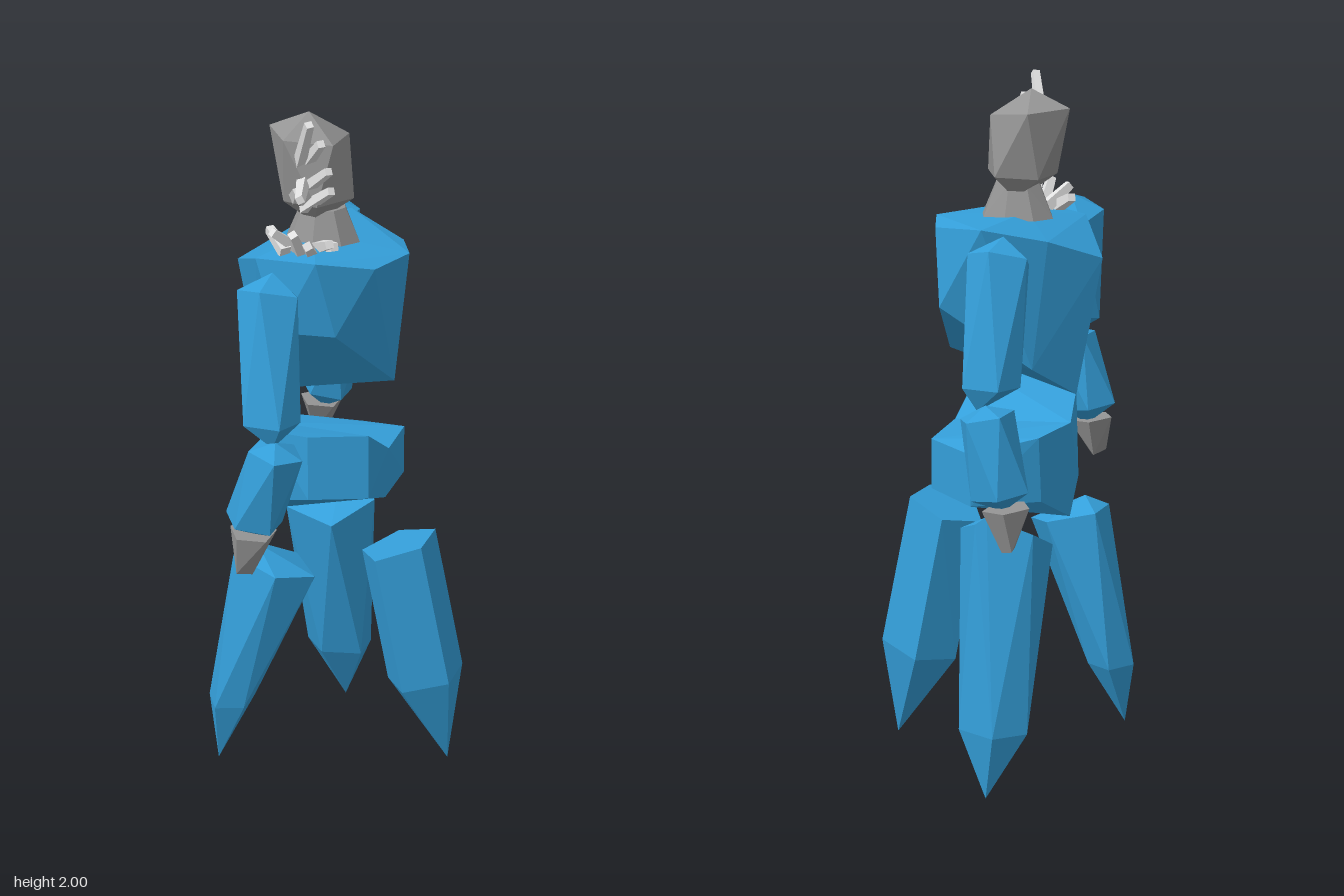
import * as THREE from 'three';
import { ConvexGeometry } from 'three/addons/geometries/ConvexGeometry.js';

const material = (name, color) => {
  const m = new THREE.MeshStandardMaterial({ color });
  m.name = name;
  return m;
};

export function createModel() {
  const model = new THREE.Group();
  const blue = material('blue shell', 0x349fda);
  const grey = material('grey stone', 0x959595);
  const pale = material('pale spike', 0xe2e2e2);

  // Faceted solid around a few [x, y, z] corners
  const solid = (name, points, mat) => {
    const mesh = new THREE.Mesh(new ConvexGeometry(points.map((p) => new THREE.Vector3(...p))), mat);
    mesh.name = name;
    model.add(mesh);
  };
  // Pentagonal cross-section; tilts raise one side along x or z
  const ring = (x, y, z, rx, rz, turn = 0, tiltX = 0, tiltZ = 0, sides = 5) =>
    Array.from({ length: sides }, (_, i) => {
      const a = turn + (i / sides) * Math.PI * 2;
      const dx = Math.cos(a) * rx, dz = Math.sin(a) * rz;
      return [x + dx, y + dx * tiltX + dz * tiltZ, z + dz];
    });

  // Head and neck
  solid('head', [
    [-0.11, 1.97, 0],
    ...ring(-0.11, 1.91, 0, 0.115, 0.11, Math.PI, -0.1),
    ...ring(-0.08, 1.735, 0, 0.1, 0.112, 0, 0.05),
    [-0.08, 1.67, 0.04], [-0.08, 1.67, -0.04],
  ], grey);
  solid('neck', [
    ...ring(-0.07, 1.71, 0, 0.065, 0.06, 0, 0, 0, 8),
    ...ring(-0.07, 1.615, 0, 0.107, 0.088, 0, 0, 0, 8),
  ], grey);

  // Torso wedge
  solid('torso', [
    [-0.1, 1.63, 0], [-0.33, 1.52, -0.01], [-0.225, 1.58, -0.145], [-0.08, 1.62, -0.26],
    [0.12, 1.59, -0.13], [0.18, 1.6, 0], [0.125, 1.59, 0.13], [-0.01, 1.62, 0.225],
    [-0.2, 1.6, 0.18], [-0.13, 1.4, 0.2], [0.03, 1.4, 0.18], [0.14, 1.22, 0],
    [0.08, 1.38, -0.19], [-0.18, 1.22, -0.145], [-0.26, 1.13, -0.02],
  ], blue);

  // Bent pelvis, its two halves meeting at z = 0
  const middle = [[0.125, 1.01, 0], [0.115, 0.855, 0], [-0.235, 1.04, 0], [-0.235, 0.765, 0]];
  solid('pelvisFront', [
    ...middle, [0.125, 1.12, 0.175], [0.125, 0.93, 0.175], [-0.03, 1.12, 0.24],
    [-0.03, 0.93, 0.24], [-0.18, 1.09, 0.17], [-0.21, 0.85, 0.12],
  ], blue);
  solid('pelvisBack', [
    ...middle, [0.11, 1.0, -0.185], [0.11, 0.855, -0.185], [-0.03, 0.98, -0.225],
    [-0.03, 0.83, -0.225], [-0.19, 1.02, -0.12], [-0.19, 0.83, -0.1],
  ], blue);

  // Three pointed legs
  solid('frontLeg', [
    [-0.19, 0.76, 0.22],
    ...ring(-0.15, 0.705, 0.203, 0.125, 0.09, 0, -0.25),
    ...ring(-0.275, 0.25, 0.235, 0.07, 0.08, Math.PI),
    [-0.31, 0.055, 0.26],
  ], blue);
  solid('backLeg', [
    [-0.11, 0.83, -0.29],
    ...ring(-0.12, 0.75, -0.185, 0.14, 0.115, 0, 0, -0.5),
    ...ring(-0.12, 0.2, -0.27, 0.105, 0.08, Math.PI),
    [-0.115, 0, -0.31],
  ], blue);
  solid('sideLeg', [
    ...ring(0.17, 0.735, 0.04, 0.11, 0.113, Math.PI, 0.35),
    ...ring(0.245, 0.3, 0.005, 0.115, 0.113, Math.PI, 0.25),
    [0.31, 0.02, -0.02],
  ], blue);

  // Arms: upper arm, forearm and hand at each end of z
  const arms = [
    { name: 'front', s: 1, shoulder: -0.09, elbow: -0.065, foreTop: -0.035, wrist: -0.1, hand: -0.105, grip: 0.038 },
    { name: 'back', s: -1, shoulder: -0.18, elbow: -0.185, foreTop: -0.19, wrist: -0.235, hand: -0.25, grip: 0.022 },
  ];
  for (const { name, s, shoulder, elbow, foreTop, wrist, hand, grip } of arms) {
    solid(name + 'UpperArm', [
      [shoulder, 1.625, s * 0.335],
      ...ring(shoulder, 1.57, s * 0.35, 0.09, 0.078, s * Math.PI / 2, 0, s * 0.4),
      ...ring(elbow, 1.245, s * 0.438, 0.087, 0.067, -s * Math.PI / 2),
      [elbow + 0.02, 1.18, s * 0.465],
    ], blue);
    solid(name + 'Forearm', [
      [foreTop, 1.2, s * 0.47],
      ...ring(foreTop, 1.17, s * 0.465, 0.075, 0.078, 0, -0.2),
      ...ring(wrist, 0.96, s * 0.47, 0.08, 0.08, Math.PI, -0.2),
      [wrist, 0.91, s * 0.45],
    ], blue);
    solid(name + 'Hand', [
      ...ring(hand, 0.925, s * 0.465, 0.066, 0.07, Math.PI, -0.1),
      [hand - 0.03, 0.815, s * (0.477 + grip)], [hand + 0.005, 0.805, s * 0.485],
      [hand - 0.02, 0.815, s * (0.477 - grip)],
    ], grey);
  }

  // Square spikes on the face and a second cluster on the collar
  const up = new THREE.Vector3(0, 1, 0);
  const spike = (name, from, to, r) => {
    const a = new THREE.Vector3(...from), b = new THREE.Vector3(...to);
    const dir = b.clone().sub(a);
    const geo = new THREE.CylinderGeometry(r * 0.7, r, dir.length(), 4).toNonIndexed();
    geo.computeVertexNormals();
    const mesh = new THREE.Mesh(geo, pale);
    mesh.name = name;
    mesh.position.copy(a).add(b).multiplyScalar(0.5);
    mesh.quaternion.setFromUnitVectors(up, dir.normalize());
    model.add(mesh);
  };
  [
    [[-0.11, 1.84, 0.08], [-0.04, 1.99, 0.185]],
    [[-0.1, 1.8, 0.07], [-0.035, 1.81, 0.27]],
    [[-0.1, 1.77, 0.07], [0.005, 1.86, 0.16]],
    [[-0.09, 1.85, 0.07], [-0.02, 1.93, 0.15]],
    [[-0.1, 1.72, 0.07], [0.005, 1.8, 0.14]],
    [[-0.12, 1.75, 0.08], [-0.08, 1.8, 0.17]],
  ].forEach(([a, b]) => spike('faceSpike', a, b, 0.02));
  [
    [[-0.12, 1.62, 0.16], [-0.19, 1.66, 0.1]],
    [[-0.1, 1.62, 0.12], [-0.15, 1.68, 0.18]],
    [[-0.08, 1.61, 0.14], [-0.08, 1.69, 0.21]],
    [[-0.06, 1.61, 0.12], [-0.03, 1.67, 0.23]],
    [[-0.05, 1.62, 0.09], [0.01, 1.66, 0.17]],
    [[-0.04, 1.62, 0.08], [0.01, 1.64, 0.13]],
  ].forEach(([a, b]) => spike('collarSpike', a, b, 0.022));

  return model;
}
